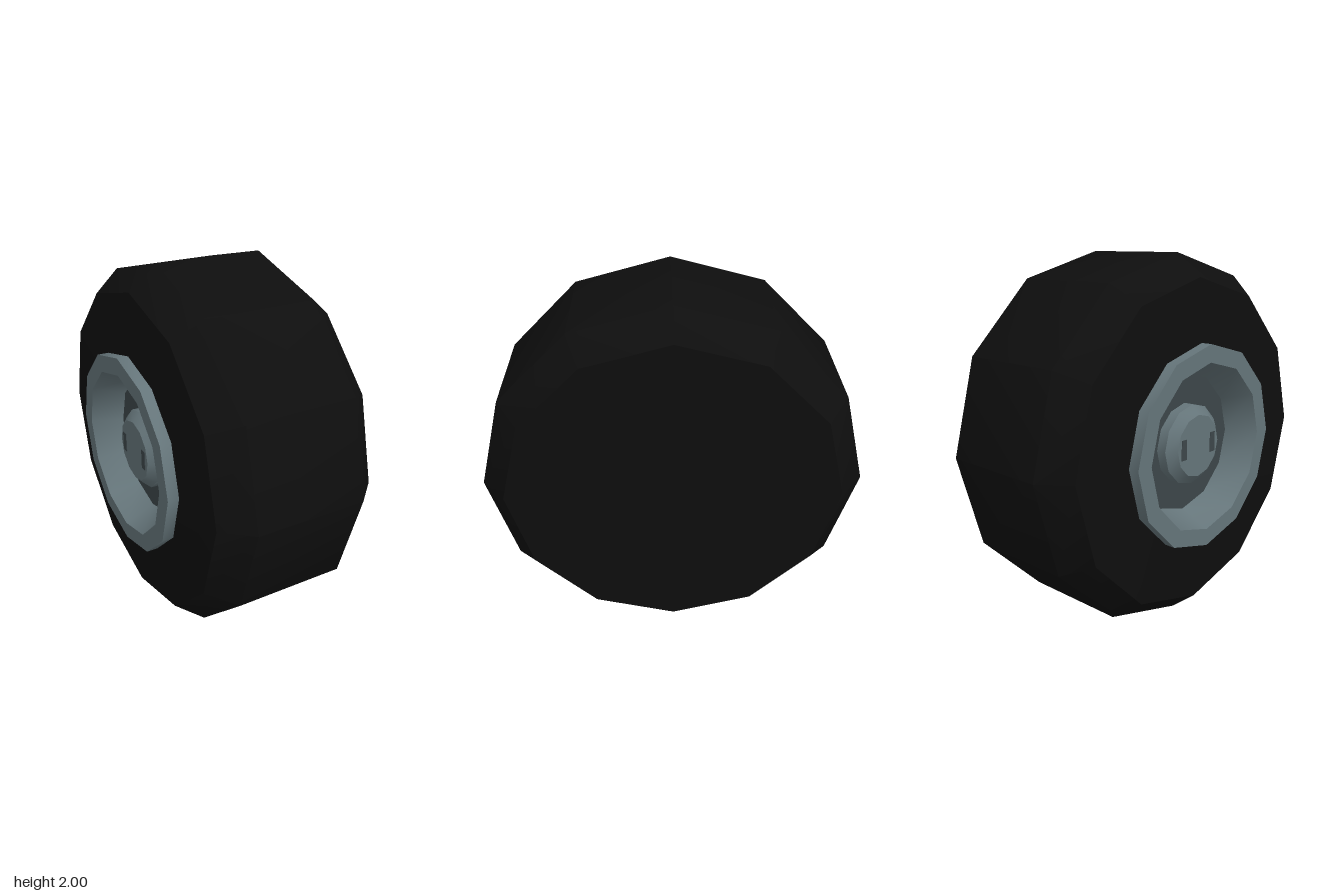
import * as THREE from 'three';
import { toCreasedNormals } from 'three/addons/utils/BufferGeometryUtils.js';

const SIDES = 12;

// Turns a profile of [radius, x] pairs, ordered from -x to +x, around the x axis
function turned(name, profile, material, crease) {
  const points = profile.map(([r, x]) => new THREE.Vector2(r, x));
  const geometry = new THREE.LatheGeometry(points, SIDES).rotateZ(-Math.PI / 2);
  const mesh = new THREE.Mesh(toCreasedNormals(geometry, crease), material);
  mesh.name = name;
  return mesh;
}

export function createModel() {
  const rubber = new THREE.MeshStandardMaterial({ color: 0x0e0e0e });
  rubber.name = 'black rubber';
  const metal = new THREE.MeshStandardMaterial({ color: 0x65757a });
  metal.name = 'grey metal';
  const darkMetal = new THREE.MeshStandardMaterial({ color: 0x3c4649 });
  darkMetal.name = 'dark metal';

  const wheel = new THREE.Group();
  wheel.name = 'wheel';

  // Tyre with bevelled shoulders and a closed inner face
  wheel.add(turned('tyre', [
    [0.53, -0.43], [0.88, -0.41], [1, -0.26], [1, 0.34], [0.875, 0.48], [0, 0.48],
  ], rubber, 0.8));

  // Raised rim lip and the tapered wall of the recess
  wheel.add(turned('rim', [
    [0.38, -0.32], [0.455, -0.49], [0.55, -0.49], [0.55, -0.42],
  ], metal, 0.7));

  // Recess floor behind the hub
  wheel.add(turned('rimFloor', [[0.2, -0.32], [0.38, -0.32]], darkMetal, 0.7));

  // Bevelled hub cap
  wheel.add(turned('hub', [
    [0, -0.42], [0.17, -0.42], [0.22, -0.375], [0.22, -0.32],
  ], metal, 0.7));

  // Small dark slots on the hub face
  for (const side of [-1, 1]) {
    const slot = new THREE.Mesh(new THREE.BoxGeometry(0.006, 0.11, 0.04), darkMetal);
    slot.name = 'hubSlot';
    slot.position.set(-0.42, 0, side * 0.12);
    wheel.add(slot);
  }

  wheel.position.y = 1;
  const model = new THREE.Group();
  model.name = 'wheelModel';
  model.add(wheel);
  return model;
}
